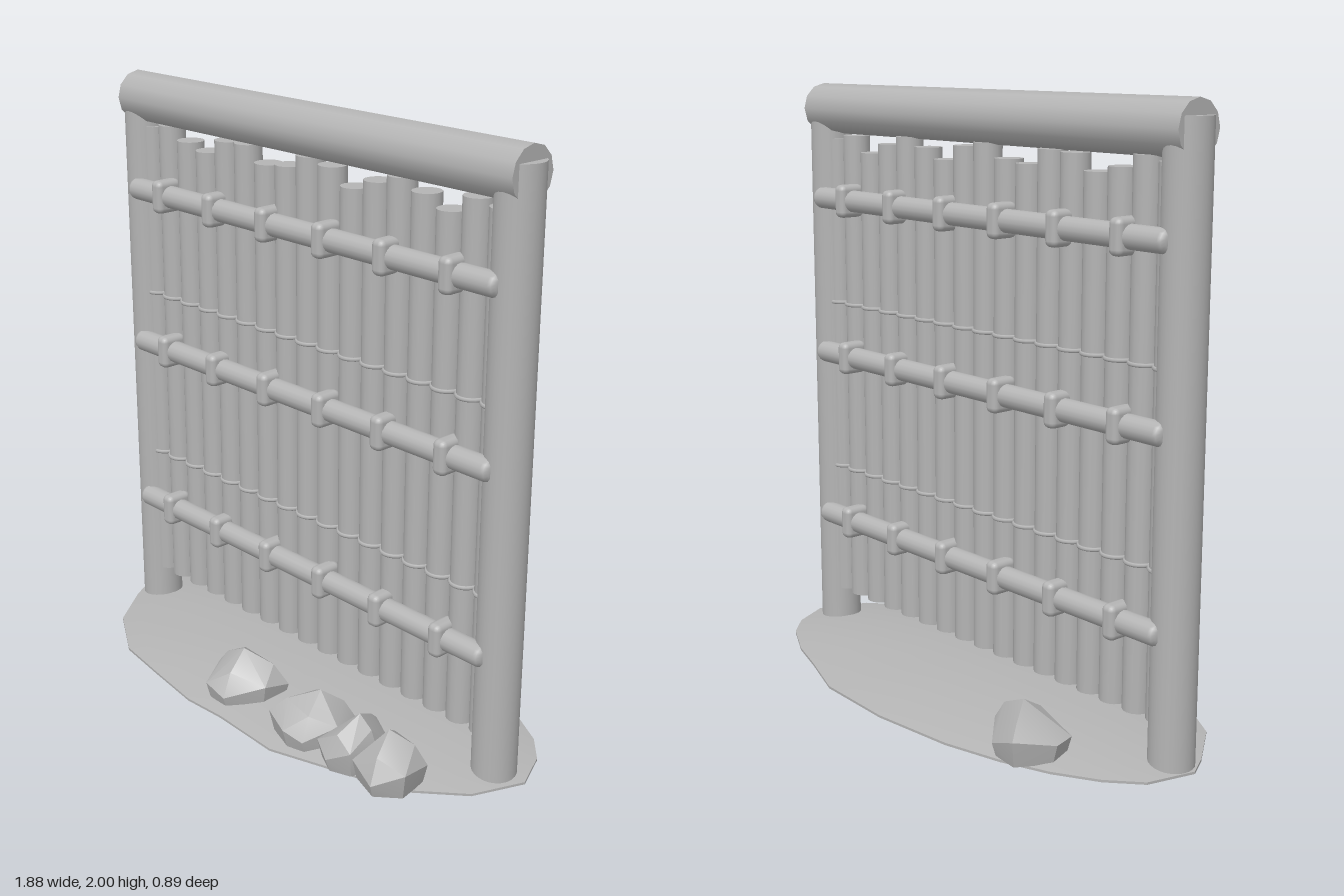
import * as THREE from 'three';
import { toCreasedNormals } from 'three/addons/utils/BufferGeometryUtils.js';
import { RoundedBoxGeometry } from 'three/addons/geometries/RoundedBoxGeometry.js';
import { ConvexGeometry } from 'three/addons/geometries/ConvexGeometry.js';

const grey = new THREE.MeshStandardMaterial({ color: 0xb4b4b4 });
grey.name = 'plain grey';
const Z = 0.005; // centre plane of the fence

function add(parent, name, geometry, x = 0, y = 0, z = 0) {
  const mesh = new THREE.Mesh(geometry, grey);
  mesh.name = name;
  mesh.position.set(x, y, z);
  parent.add(mesh);
  return mesh;
}

// Low irregular mound built from shrinking copies of one outline
function moundGeometry() {
  const outline = [
    [-0.945, 0.02], [-0.9, -0.14], [-0.8, -0.23], [-0.66, -0.31], [-0.5, -0.37], [-0.3, -0.42],
    [0, -0.45], [0.3, -0.435], [0.5, -0.36], [0.65, -0.31], [0.8, -0.23], [0.88, -0.15],
    [0.94, -0.02], [0.87, 0.15], [0.7, 0.3], [0.5, 0.36], [0.26, 0.44], [0, 0.43],
    [-0.16, 0.44], [-0.38, 0.41], [-0.58, 0.38], [-0.78, 0.26], [-0.9, 0.1],
  ];
  const rings = [[0, 0], [1, 0], [1, 0.008], [0.9, 0.02], [0.65, 0.042], [0.35, 0.056], [0, 0.06]];
  const n = outline.length, pos = [], index = [];
  for (const [s, y] of rings) for (const [x, z] of outline) pos.push(x * s, y, z * s);
  for (let r = 0; r < rings.length - 1; r++) {
    for (let i = 0; i < n; i++) {
      const a = r * n + i, b = r * n + (i + 1) % n, c = a + n, d = b + n;
      if (r < rings.length - 2) index.push(a, c, d);
      if (r > 0) index.push(a, d, b);
    }
  }
  const g = new THREE.BufferGeometry();
  g.setAttribute('position', new THREE.Float32BufferAttribute(pos, 3));
  g.setIndex(index);
  return toCreasedNormals(g, 0.5);
}

// Boulder: convex hull of a plan outline, narrowed above and below, with a peak
function rockGeometry(outline, [px, py, pz]) {
  const points = [new THREE.Vector3(px, py, pz)];
  outline.forEach(([x, z], i) => {
    const at = (s, y) => points.push(new THREE.Vector3(px + (x - px) * s, y, pz + (z - pz) * s));
    at(0.88, 0.01);
    at(1, 0.075 + 0.025 * Math.sin(i * 2.1));
    if (i % 2) at(0.66, 0.138 + 0.012 * Math.cos(i * 1.7));
  });
  return toCreasedNormals(new ConvexGeometry(points), 0.45);
}

// Horizontal rail with rounded ends
function railGeometry(length, r) {
  const h = length / 2, b = 0.02;
  const profile = [[0, -h], [r * 0.6, -h], [r * 0.9, -h + b * 0.5], [r, -h + b],
    [r, h - b], [r * 0.9, h - b * 0.5], [r * 0.6, h], [0, h]];
  const g = new THREE.LatheGeometry(profile.map(([x, y]) => new THREE.Vector2(x, y)), 16);
  return g.rotateZ(Math.PI / 2);
}

export function createModel() {
  const model = new THREE.Group();
  model.name = 'fence panel';

  add(model, 'groundMound', moundGeometry());

  // Corner posts and the top log
  const post = new THREE.CylinderGeometry(0.073, 0.073, 1.95, 24);
  add(model, 'rightPost', post, -0.862, 0.975, Z);
  add(model, 'leftPost', post, 0.833, 0.975, Z);
  const log = new THREE.CylinderGeometry(0.086, 0.086, 1.775, 12).rotateZ(Math.PI / 2);
  add(model, 'topLog', log, -0.0125, 1.914, Z);

  // Upright poles of uneven height with thin rope rings
  const tops = [1.82, 1.835, 1.795, 1.775, 1.825, 1.83, 1.78, 1.79, 1.835,
    1.82, 1.77, 1.805, 1.835, 1.805, 1.77, 1.825, 1.81];
  const poles = new THREE.Group();
  poles.name = 'poles';
  model.add(poles);
  const ring = new THREE.TorusGeometry(0.047, 0.007, 6, 20).rotateX(Math.PI / 2);
  tops.forEach((top, i) => {
    const x = -0.815 + i * 0.1, h = top - 0.14;
    add(poles, 'pole', new THREE.CylinderGeometry(0.047, 0.047, h, 16), x, 0.14 + h / 2, Z);
    for (const y of [1.228, 0.618]) add(poles, 'ropeRing', ring, x, y, Z);
  });

  // Rails on both faces with their bindings
  const rail = railGeometry(1.69, 0.038);
  const binding = new RoundedBoxGeometry(0.052, 0.114, 0.1, 2, 0.02);
  for (const side of [1, -1]) {
    for (const y of [1.602, 1.045, 0.435]) {
      const z = Z + side * 0.06;
      add(model, side > 0 ? 'frontRail' : 'backRail', rail, -0.015, y, z);
      for (let i = 0; i < 6; i++) add(model, 'binding', binding, -0.682 + i * 0.267, y, z);
    }
  }

  // Boulders
  const rocks = [
    [[[-0.19, 0.2], [-0.16, 0.18], [0.06, 0.18], [0.085, 0.2], [0.08, 0.3], [-0.02, 0.4], [-0.11, 0.4], [-0.17, 0.29]],
      [-0.05, 0.187, 0.28]],
    [[[0.18, 0.28], [0.21, 0.2], [0.3, 0.165], [0.39, 0.18], [0.42, 0.29], [0.36, 0.39], [0.29, 0.41], [0.19, 0.38]],
      [0.33, 0.192, 0.28]],
    [[[0.385, 0.21], [0.46, 0.155], [0.55, 0.18], [0.58, 0.27], [0.56, 0.37], [0.48, 0.4], [0.4, 0.36]],
      [0.51, 0.185, 0.28]],
    [[[0.55, 0.26], [0.58, 0.18], [0.66, 0.17], [0.74, 0.21], [0.76, 0.33], [0.68, 0.4], [0.56, 0.36]],
      [0.64, 0.187, 0.28]],
    [[[-0.65, -0.27], [-0.58, -0.39], [-0.47, -0.375], [-0.365, -0.27], [-0.4, -0.21], [-0.48, -0.145], [-0.63, -0.19]],
      [-0.51, 0.185, -0.28]],
  ];
  for (const [outline, peak] of rocks) add(model, 'rock', rockGeometry(outline, peak));

  return model;
}
